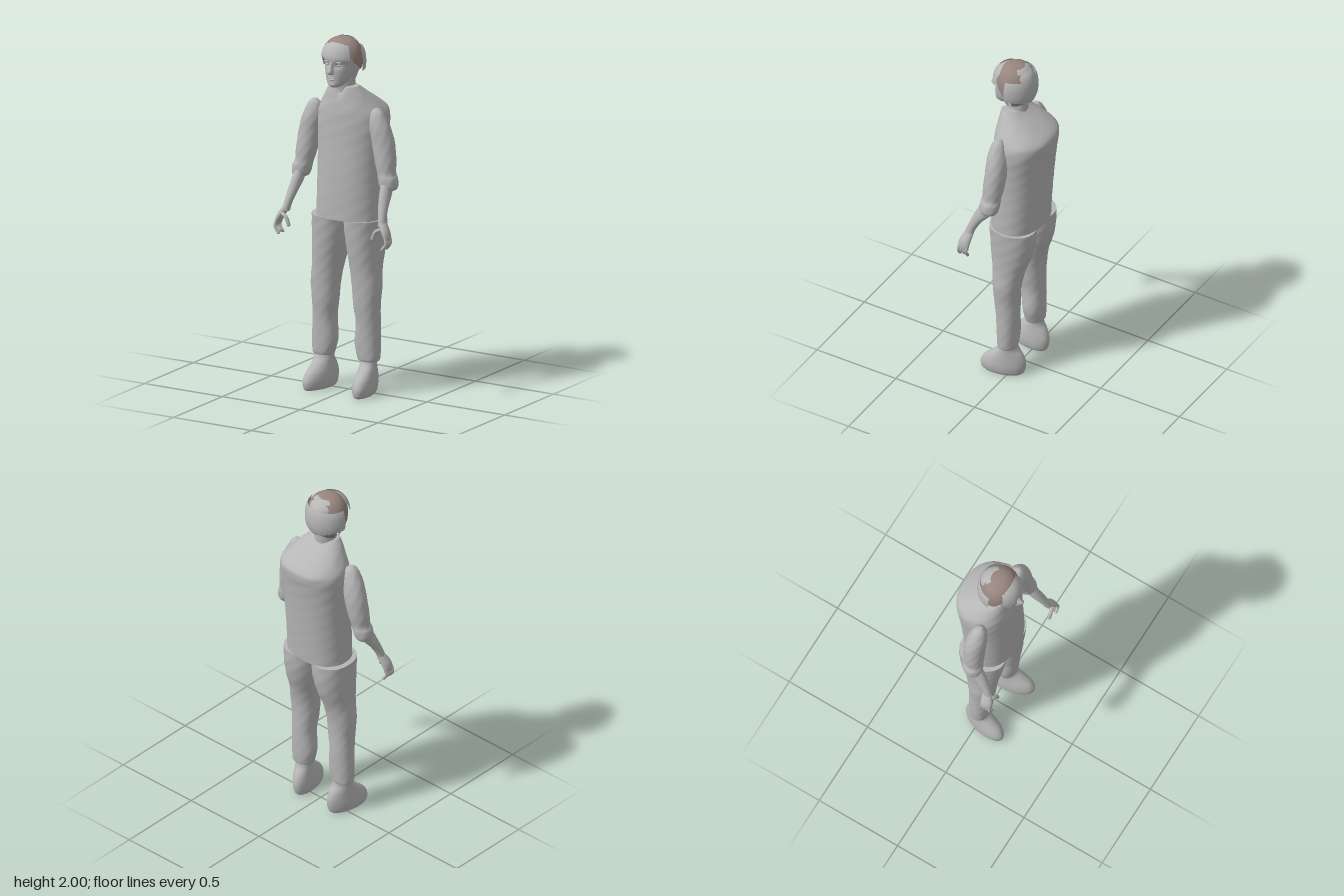
import * as THREE from 'three';

const plain = new THREE.MeshStandardMaterial({ color: 0xb6b6b6, side: THREE.DoubleSide });
plain.name = 'plain grey';
const brown = new THREE.MeshStandardMaterial({ color: 0x97857f, side: THREE.DoubleSide });
brown.name = 'hair brown';

const catmull = (a, b, c, d, t) =>
  0.5 * (2 * b + (c - a) * t + (2 * a - 5 * b + 4 * c - d) * t * t + (3 * b - a - 3 * c + d) * t * t * t);

function makeMesh(name, pos, idx, material) {
  const g = new THREE.BufferGeometry();
  g.setAttribute('position', new THREE.Float32BufferAttribute(pos, 3));
  g.setIndex(idx);
  g.computeVertexNormals();
  const m = new THREE.Mesh(g, material);
  m.name = name;
  return m;
}

// Smooth body through horizontal rings [y, centreX, radiusX, frontZ, backZ], listed upwards
function loft(name, rings, { side = 1, power = 1, wrinkle = 0, bend = null, seg = 40, steps = 5 } = {}) {
  const pos = [], idx = [], rows = [];
  const n = rings.length - 1;
  for (let i = 0; i < n; i++)
    for (let k = 0; k < steps + (i === n - 1 ? 1 : 0); k++)
      rows.push(rings[i].map((b, j) =>
        catmull(rings[Math.max(i - 1, 0)][j], b, rings[i + 1][j], rings[Math.min(i + 2, n)][j], k / steps)));
  const put = (x, y, z) => {
    const v = new THREE.Vector3(x, y, z);
    if (bend) bend(v);
    pos.push(v.x, v.y, v.z);
  };
  const round = (c) => Math.sign(c) * Math.abs(c) ** power;
  const ring = ([y, cx, rx, f, b]) => {
    for (let j = 0; j < seg; j++) {
      const a = (j / seg) * Math.PI * 2;
      const k = 1 + wrinkle * Math.sin(5 * a + 31 * y) * Math.sin(43 * y + 2 * a + side);
      put(side * cx + rx * k * round(Math.cos(a)), y, (f + b) / 2 + ((f - b) / 2) * k * round(Math.sin(a)));
    }
  };
  rows.forEach(ring);
  for (let i = 0; i < rows.length - 1; i++)
    for (let j = 0; j < seg; j++) {
      const a = i * seg + j, b = i * seg + (j + 1) % seg;
      idx.push(a, a + seg, b, b, a + seg, b + seg);
    }
  // End caps with their own corners, so the rims stay crisp
  [rows[0], rows[rows.length - 1]].forEach((r, top) => {
    const s = pos.length / 3;
    ring(r);
    put(side * r[1], r[0], (r[3] + r[4]) / 2);
    for (let j = 0; j < seg; j++) {
      const a = s + j, b = s + (j + 1) % seg;
      idx.push(s + seg, top ? b : a, top ? a : b);
    }
  });
  return makeMesh(name, pos, idx, plain);
}

// Patch of a hair dome between two angles (0 = front), with a jagged lower edge
function hair(name, material, { from, to, rx, rz, top, edge, jag = 0.012, lift = 0 }) {
  const pos = [], idx = [], cols = 72, rows = 14;
  for (let i = 0; i <= rows; i++)
    for (let j = 0; j <= cols; j++) {
      const a = from + ((to - from) * j) / cols;
      const low = edge(a) - jag * (0.5 + 0.5 * Math.sin(j * 1.9) * Math.cos(j * 0.7));
      const y = low + (top - low) * Math.sin((i / rows) * Math.PI / 2);
      const h = (y - 1.86) / 0.14;
      const r = h > 0 ? Math.max(0, 1 - h ** 2.5) ** 0.4 : 1 - 0.5 * h * h;
      pos.push(-0.01 + Math.sin(a) * r * rx, y + lift, 0.045 + Math.cos(a) * r * rz);
    }
  for (let i = 0; i < rows; i++)
    for (let j = 0; j < cols; j++) {
      const a = i * (cols + 1) + j, b = a + cols + 1;
      idx.push(a, a + 1, b, a + 1, b + 1, b);
    }
  return makeMesh(name, pos, idx, material);
}

function ball(name, x, y, z, sx, sy, sz) {
  const m = new THREE.Mesh(new THREE.SphereGeometry(1, 20, 14), plain);
  m.name = name;
  m.position.set(x, y, z);
  m.scale.set(sx, sy, sz);
  return m;
}

function finger(name, points, r) {
  const g = new THREE.Group();
  g.name = name;
  const v = points.map((p) => new THREE.Vector3(...p));
  g.add(new THREE.Mesh(new THREE.TubeGeometry(new THREE.CatmullRomCurve3(v), 10, r, 10), plain));
  g.add(ball(name + 'Tip', ...points[points.length - 1], r, r, r));
  return g;
}

function makeArm(s) {
  const arm = new THREE.Group();
  arm.name = s > 0 ? 'leftArm' : 'rightArm';
  arm.add(loft('sleeve', [
    [1.18, 0.283, 0.042, 0.085, -0.005], [1.2, 0.28, 0.052, 0.092, -0.015], [1.24, 0.273, 0.055, 0.092, -0.02],
    [1.27, 0.262, 0.052, 0.086, -0.02], [1.33, 0.252, 0.06, 0.086, -0.03], [1.43, 0.235, 0.065, 0.082, -0.037],
    [1.51, 0.217, 0.062, 0.082, -0.03], [1.56, 0.205, 0.052, 0.075, -0.018], [1.6, 0.2, 0.035, 0.062, -0.002],
    [1.62, 0.198, 0.014, 0.045, 0.015]], { side: s, wrinkle: 0.02 }));
  arm.add(loft('forearm', [
    [1.0, 0.31, 0.022, 0.178, 0.125], [1.04, 0.303, 0.022, 0.167, 0.115], [1.1, 0.292, 0.027, 0.145, 0.08],
    [1.16, 0.283, 0.031, 0.12, 0.03], [1.22, 0.276, 0.03, 0.09, 0.01]], { side: s }));
  arm.add(loft('palm', [
    [0.925, 0.35, 0.01, 0.19, 0.13], [0.945, 0.347, 0.016, 0.195, 0.128], [0.98, 0.332, 0.022, 0.192, 0.125],
    [1.02, 0.308, 0.021, 0.174, 0.12]], { side: s, seg: 24 }));
  for (let i = 0; i < 4; i++) {
    const z = 0.138 + i * 0.016;
    arm.add(finger('finger', [[s * 0.35, 0.945, z], [s * 0.355, 0.91, z + 0.004],
      [s * 0.333, 0.878 + (i % 3) * 0.006, z + 0.006]], 0.0085));
  }
  arm.add(finger('thumb', [[s * 0.325, 0.99, 0.175], [s * 0.288, 0.972, 0.186], [s * 0.27, 0.932, 0.188]], 0.011));
  return arm;
}

function makeLeg(s) {
  const leg = new THREE.Group();
  leg.name = s > 0 ? 'leftLeg' : 'rightLeg';
  // The left leg stands slightly closer to the middle
  const stance = (v) => { if (s > 0) v.x -= 0.028 * Math.max(0, 1 - v.y); };
  leg.add(loft('trouserLeg', [
    [0.185, 0.155, 0.057, 0.055, -0.042], [0.2, 0.155, 0.064, 0.062, -0.047], [0.28, 0.146, 0.074, 0.068, -0.053],
    [0.4, 0.147, 0.068, 0.075, -0.056], [0.5, 0.14, 0.075, 0.086, -0.056], [0.6, 0.138, 0.083, 0.092, -0.062],
    [0.7, 0.125, 0.086, 0.1, -0.083], [0.8, 0.114, 0.096, 0.113, -0.118], [0.9, 0.106, 0.106, 0.122, -0.137],
    [0.987, 0.103, 0.109, 0.128, -0.14]], { side: s, power: 0.92, wrinkle: 0.012, bend: stance }));
  leg.add(loft('foot', [
    [0, 0.15, 0.047, 0.155, -0.065], [0.015, 0.15, 0.056, 0.164, -0.078], [0.05, 0.15, 0.06, 0.166, -0.087],
    [0.09, 0.15, 0.057, 0.145, -0.087], [0.13, 0.151, 0.052, 0.1, -0.072], [0.17, 0.152, 0.049, 0.058, -0.047],
    [0.22, 0.154, 0.048, 0.048, -0.04]],
  { side: s, bend: (v) => { v.x += s * 0.16 * v.z; stance(v); } }));
  return leg;
}

function makeHead() {
  const head = new THREE.Group();
  head.name = 'head';
  head.add(loft('neck', [
    [1.62, 0, 0.07, 0.09, -0.04], [1.7, -0.003, 0.062, 0.09, -0.03], [1.76, -0.008, 0.058, 0.1, -0.03],
    [1.83, -0.01, 0.06, 0.11, -0.03]]));
  // Skull and face with hollowed eye sockets
  head.add(loft('face', [
    [1.737, -0.01, 0.024, 0.152, 0.09], [1.75, -0.01, 0.044, 0.165, 0.055], [1.78, -0.01, 0.064, 0.164, 0.01],
    [1.82, -0.01, 0.079, 0.164, -0.03], [1.86, -0.01, 0.087, 0.163, -0.055], [1.91, -0.01, 0.093, 0.167, -0.066],
    [1.95, -0.01, 0.088, 0.152, -0.058], [1.977, -0.01, 0.065, 0.12, -0.03], [1.988, -0.01, 0.03, 0.085, 0.01]],
  { seg: 64, bend: (v) => {
    if (v.z < 0.08) return;
    const d = ((Math.abs(v.x + 0.01) - 0.034) / 0.02) ** 2 + ((v.y - 1.862) / 0.014) ** 2;
    v.z -= 0.012 * Math.exp(-d);
  } }));
  head.add(loft('nose', [
    [1.812, -0.01, 0.01, 0.172, 0.15], [1.82, -0.01, 0.018, 0.192, 0.145], [1.832, -0.01, 0.015, 0.198, 0.145],
    [1.855, -0.01, 0.01, 0.18, 0.145], [1.885, -0.01, 0.009, 0.167, 0.145]], { seg: 24 }));
  head.add(ball('upperLip', -0.01, 1.792, 0.16, 0.024, 0.005, 0.012));
  head.add(ball('lowerLip', -0.01, 1.782, 0.159, 0.02, 0.006, 0.012));
  head.add(ball('chin', -0.01, 1.755, 0.15, 0.024, 0.016, 0.018));
  for (const s of [-1, 1]) {
    head.add(ball('eye', -0.01 + s * 0.034, 1.862, 0.139, 0.014, 0.008, 0.012));
    head.add(ball('brow', -0.01 + s * 0.034, 1.881, 0.15, 0.021, 0.005, 0.011));
    head.add(ball('ear', -0.01 + s * 0.09, 1.845, 0.04, 0.012, 0.03, 0.02));
  }
  // Brown crown with long sides, over a grey fringe and back
  const P = Math.PI;
  head.add(hair('crownHair', brown, { from: -P, to: P, rx: 0.115, rz: 0.107, top: 2,
    edge: (a) => 1.935 - 0.09 * Math.abs(Math.sin(a)) ** 5 }));
  head.add(hair('fringe', plain, { from: -0.95, to: 0.95, rx: 0.116, rz: 0.132, top: 1.972,
    edge: (a) => 1.918 - 0.012 * Math.abs(a), jag: 0.024 }));
  head.add(hair('backHair', plain, { from: P * 0.5, to: P * 1.5, rx: 0.129, rz: 0.122, top: 1.945,
    edge: (a) => 1.79 + 0.04 * Math.abs(Math.sin(a)) }));
  head.add(hair('crownPatch', plain, { from: P * 0.72, to: P * 1.28, rx: 0.117, rz: 0.112, top: 1.992,
    edge: () => 1.978, lift: 0.003, jag: 0.006 }));
  head.add(hair('napeHair', brown, { from: P * 0.55, to: P * 1.45, rx: 0.088, rz: 0.094, top: 1.83,
    edge: () => 1.745, jag: 0.02 }));
  for (const s of [-1, 1])
    head.add(hair('sideLock', plain, { from: s * 1.45 - 0.14, to: s * 1.45 + 0.14, rx: 0.098, rz: 0.1, top: 1.86,
      edge: () => 1.78, jag: 0.03 }));
  return head;
}

export function createModel() {
  const model = new THREE.Group();
  model.name = 'standingPerson';
  // Loose top with sloping shoulders and a notched collar
  model.add(loft('shirt', [
    [0.985, 0.008, 0.191, 0.14, -0.143], [1.1, 0.008, 0.19, 0.139, -0.15], [1.25, 0.008, 0.19, 0.135, -0.162],
    [1.4, 0.01, 0.195, 0.127, -0.175], [1.5, 0.012, 0.202, 0.124, -0.187], [1.56, 0.012, 0.2, 0.122, -0.196],
    [1.6, 0.011, 0.187, 0.12, -0.188], [1.65, 0.008, 0.152, 0.113, -0.125], [1.7, 0.005, 0.113, 0.106, -0.05],
    [1.733, 0.004, 0.085, 0.1, -0.008]],
  { power: 0.88, wrinkle: 0.007, seg: 64, bend: (v) => {
    if (v.z > 0.06 && v.y > 1.64) v.y -= 0.55 * (v.y - 1.64) * Math.exp(-((v.x / 0.03) ** 2));
  } }));
  for (const s of [-1, 1]) model.add(makeArm(s), makeLeg(s));
  model.add(makeHead());
  return model;
}
